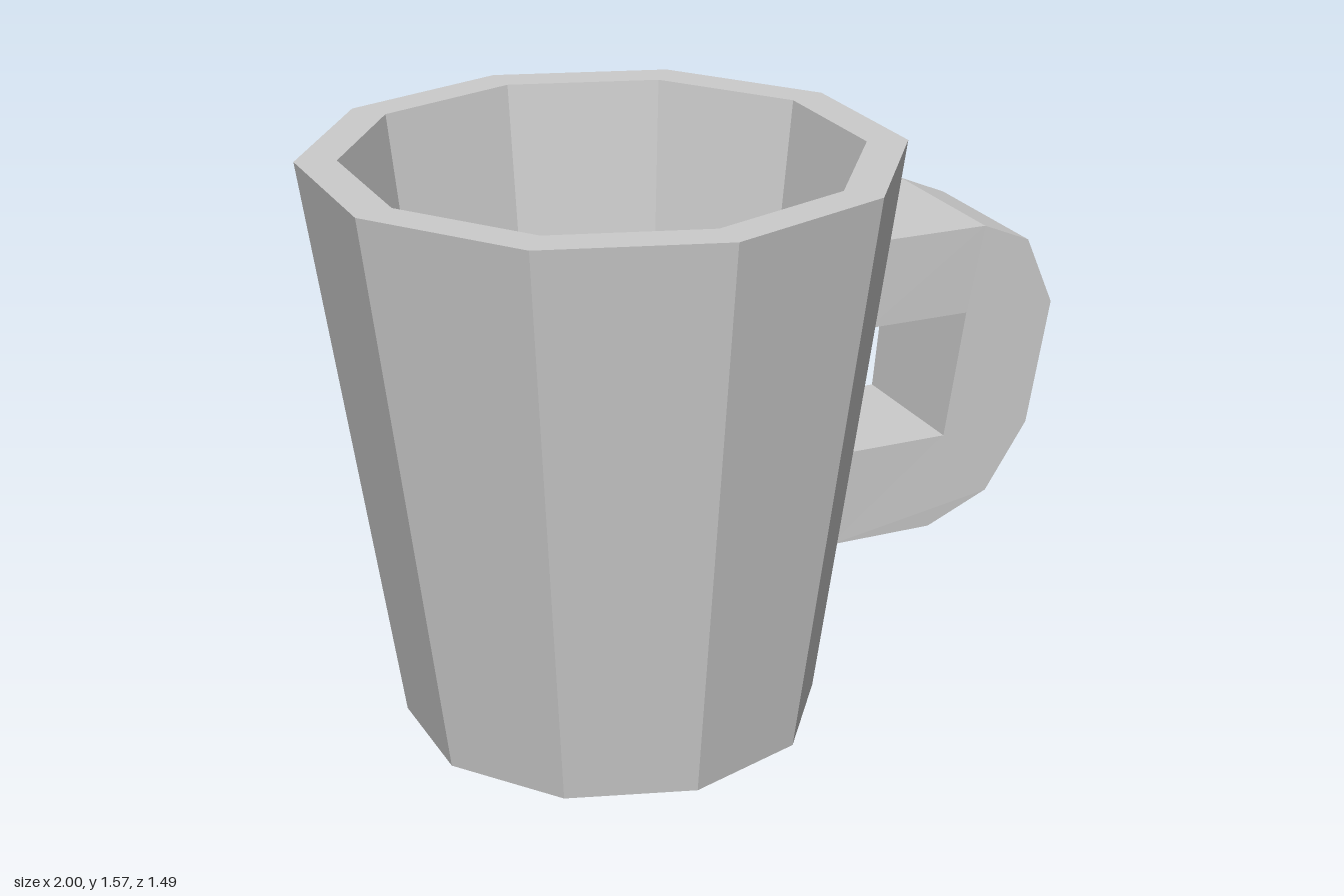
import * as THREE from 'three';

const SIDES = 10;
const HEIGHT = 1.565;
const BASE_R = 0.56;
const RIM_R = 0.782;

// outer corner radius of the tapered cup at height y
const radiusAt = (y) => BASE_R + (RIM_R - BASE_R) * (y / HEIGHT);
// distance from the axis to the middle of a side, set slightly into the wall
const rootAt = (y) => radiusAt(y) * Math.cos(Math.PI / SIDES) - 0.02;

export function createModel() {
  const material = new THREE.MeshStandardMaterial({ color: 0xcccccc, flatShading: true });
  const mug = new THREE.Group();
  mug.name = 'mug';
  mug.position.x = -0.218;

  // cup: base, outer wall, flat rim, inner wall and floor in one profile
  const profile = [
    [0, 0], [BASE_R, 0], [RIM_R, HEIGHT], [0.674, HEIGHT], [0.489, 0.12], [0, 0.12],
  ].map(([r, y]) => new THREE.Vector2(r, y));
  const cup = new THREE.Mesh(new THREE.LatheGeometry(profile, SIDES, Math.PI / 2), material);
  cup.name = 'cup';
  mug.add(cup);

  // handle: C-shaped outline, as wide as the cup side it grows from
  const outline = [
    [rootAt(0.43), 0.43], [0.871, 0.43], [1.044, 0.51], [1.157, 0.7], [1.207, 1.05],
    [1.122, 1.24], [0.988, 1.297], [rootAt(1.297), 1.297],
    [rootAt(1.055), 1.055], [0.948, 1.055], [0.902, 0.7], [rootAt(0.7), 0.7],
  ].map(([r, y]) => new THREE.Vector2(r, y));
  const geometry = new THREE.ExtrudeGeometry(new THREE.Shape(outline), { depth: 2, bevelEnabled: false });
  const p = geometry.attributes.position;
  for (let i = 0; i < p.count; i++) {
    const halfWidth = radiusAt(p.getY(i)) * Math.sin(Math.PI / SIDES);
    const shift = 0.03 * Math.max(0, p.getX(i) - 0.75);
    p.setZ(i, (p.getZ(i) - 1) * halfWidth + shift);
  }
  geometry.computeVertexNormals();
  const handle = new THREE.Mesh(geometry, material);
  handle.name = 'handle';
  handle.rotation.y = Math.PI / SIDES;
  mug.add(handle);

  const model = new THREE.Group();
  model.add(mug);
  return model;
}
